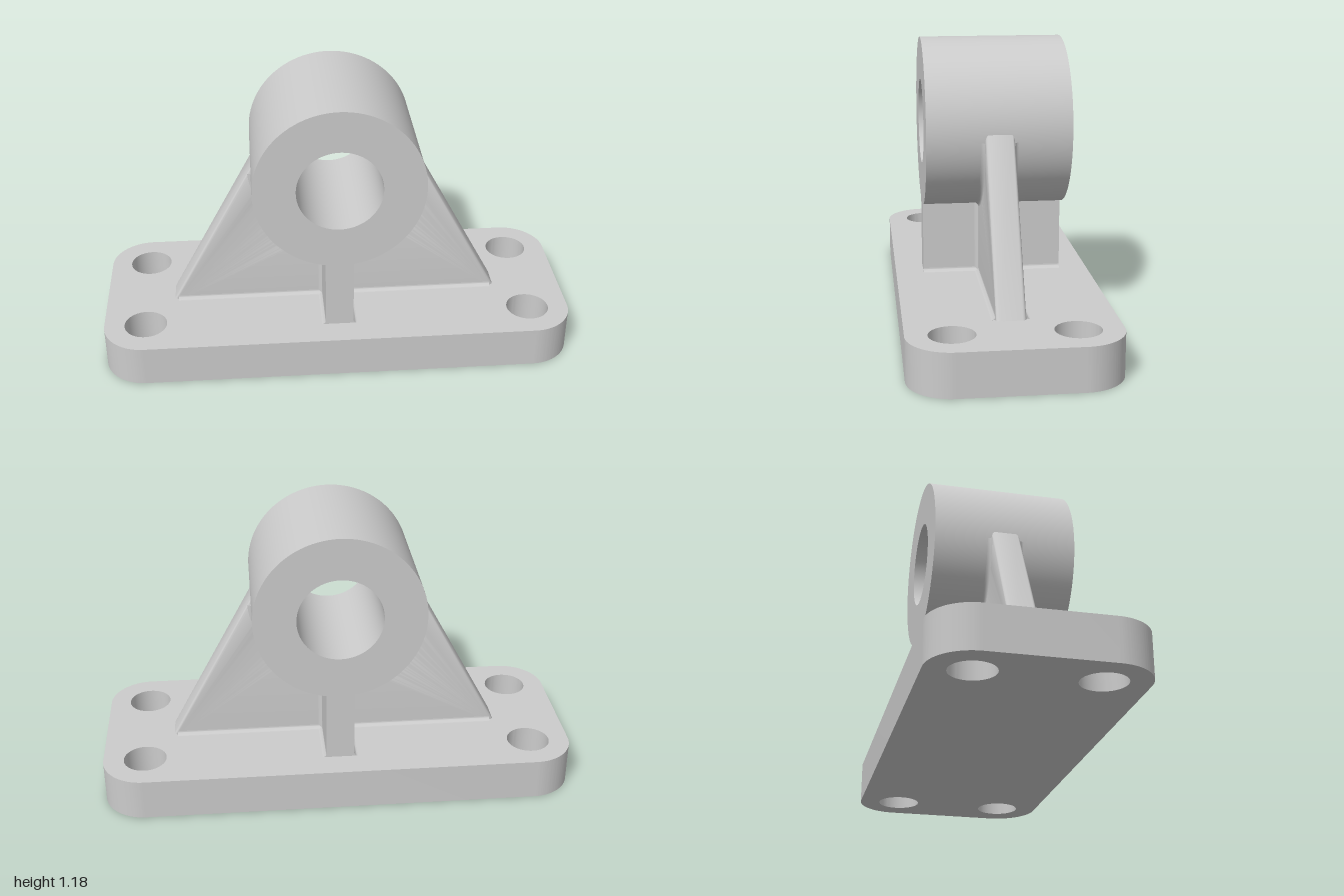
import * as THREE from 'three';
import { toCreasedNormals } from 'three/addons/utils/BufferGeometryUtils.js';

const BASE_H = 0.176, HUB_Y = 0.825, HUB_R = 0.353, BORE_R = 0.177;
const HALF_LEN = 0.294, HALF_WEB = 0.059, FILLET = 0.016;

const material = new THREE.MeshStandardMaterial({ color: 0xcccccc });

// Extrude a shape along z, centred, with smooth curves and sharp edges
function extrude(shape, depth, options = {}) {
  const geometry = new THREE.ExtrudeGeometry(shape, {
    depth, bevelEnabled: false, curveSegments: 48, ...options });
  geometry.translate(0, 0, -depth / 2);
  return toCreasedNormals(geometry, 0.6);
}

function circle(x, y, r) {
  return new THREE.Path().absarc(x, y, r, 0, Math.PI * 2, true);
}

// Concave strip that fills a right-angled corner
function filletStrip(length) {
  const shape = new THREE.Shape();
  shape.moveTo(0, 0);
  shape.lineTo(FILLET, 0);
  shape.absarc(FILLET, FILLET, FILLET, -Math.PI / 2, -Math.PI, true);
  return extrude(shape, length, { curveSegments: 6 });
}

export function createModel() {
  const model = new THREE.Group();
  model.name = 'pillowBlock';
  const add = (name, geometry, turn = 0) => {
    const mesh = new THREE.Mesh(geometry, material);
    mesh.name = name;
    mesh.rotation.y = turn;
    model.add(mesh);
  };

  // Base plate with rounded corners and four bolt holes
  const w = 1, d = 0.412, r = 0.176;
  const plate = new THREE.Shape();
  plate.absarc(w - r, d - r, r, 0, Math.PI / 2);
  plate.absarc(r - w, d - r, r, Math.PI / 2, Math.PI);
  plate.absarc(r - w, r - d, r, Math.PI, Math.PI * 1.5);
  plate.absarc(w - r, r - d, r, Math.PI * 1.5, Math.PI * 2);
  for (const sx of [-1, 1]) for (const sy of [-1, 1])
    plate.holes.push(circle(sx * (w - r), sy * (d - r), 0.09));
  add('basePlate', extrude(plate, BASE_H, { curveSegments: 32 })
    .rotateX(-Math.PI / 2).translate(0, BASE_H / 2, 0));

  // Bearing hub with bore
  const ring = new THREE.Shape().absarc(0, HUB_Y, HUB_R, 0, Math.PI * 2);
  ring.holes.push(circle(0, HUB_Y, BORE_R));
  add('hub', extrude(ring, HALF_LEN * 2));

  // Sloping side web with softened edges, ending inside the hub wall
  const web = new THREE.Shape();
  web.moveTo(-0.72, 0.15);
  web.lineTo(0.72, 0.15);
  web.lineTo(HUB_R, HUB_Y);
  web.lineTo(0.26, HUB_Y);
  web.absarc(0, HUB_Y, 0.26, 0, -Math.PI, true);
  web.lineTo(-HUB_R, HUB_Y);
  web.closePath();
  const b = 0.015;
  add('sideWeb', extrude(web, (HALF_WEB - b) * 2, {
    bevelEnabled: true, bevelThickness: b, bevelSize: b, bevelOffset: -b, bevelSegments: 4 }));

  // Rib under the hub, running front to back
  const ribTop = 0.5;
  add('centreRib', new THREE.BoxGeometry(HALF_WEB * 2, ribTop - BASE_H, HALF_LEN * 2)
    .translate(0, (ribTop + BASE_H) / 2, 0));

  // Fillets along the base and round the hub
  const webFoot = filletStrip(1.38).rotateY(-Math.PI / 2).translate(0, BASE_H, HALF_WEB);
  const ribFoot = filletStrip(HALF_LEN * 2).translate(HALF_WEB, BASE_H, 0);
  const arc = [];
  for (let i = 0; i <= 6; i++) {
    const a = (i / 6) * Math.PI / 2;
    arc.push(new THREE.Vector2(
      HUB_R + FILLET * (1 - Math.sin(a)), HALF_WEB + FILLET * (1 - Math.cos(a))));
  }
  const hubFillet = new THREE.LatheGeometry(arc, 48, -1.48, 2.96)
    .rotateX(Math.PI / 2).translate(0, HUB_Y, 0);
  for (const turn of [0, Math.PI]) {
    add('webFootFillet', webFoot, turn);
    add('ribFootFillet', ribFoot, turn);
    add('hubFillet', hubFillet, turn);
  }

  // Upright fillets between rib and web
  const upright = filletStrip(ribTop - BASE_H - 0.02).rotateX(Math.PI / 2)
    .translate(HALF_WEB, (ribTop + BASE_H - 0.02) / 2, HALF_WEB);
  for (let i = 0; i < 4; i++) add('uprightFillet', upright, i * Math.PI / 2);

  return model;
}
